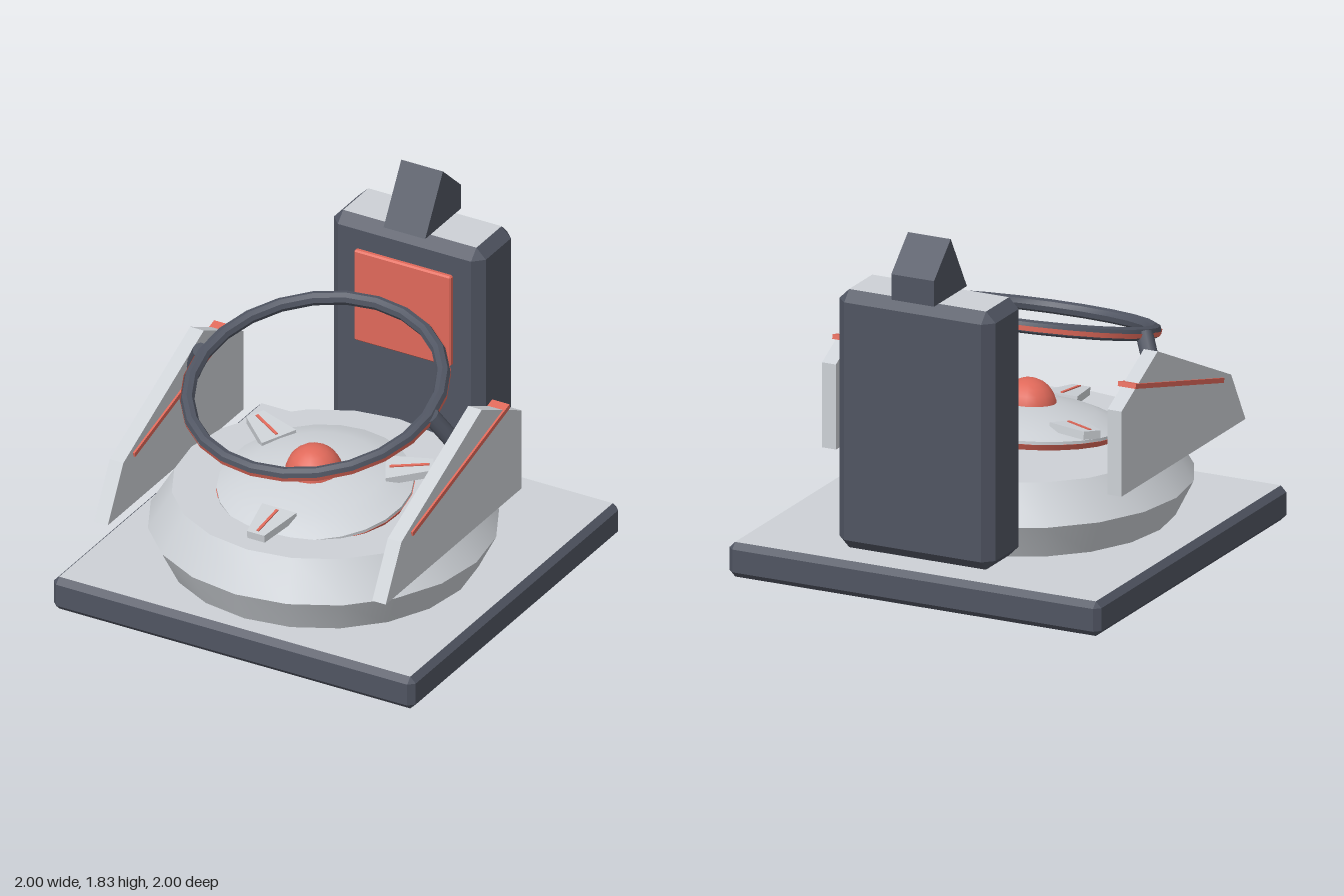
import * as THREE from 'three';
import { toCreasedNormals } from 'three/addons/utils/BufferGeometryUtils.js';
import { ConvexGeometry } from 'three/addons/geometries/ConvexGeometry.js';

const paint = (name, color) => Object.assign(new THREE.MeshStandardMaterial({ color }), { name });

export function createModel() {
  const light = paint('light grey', 0xcdd1d6);
  const dark = paint('slate', 0x505562);
  const red = paint('red', 0xe0695a);
  const model = new THREE.Group();

  const add = (name, geometry, material, parent = model) => {
    const mesh = new THREE.Mesh(geometry, material);
    mesh.name = name;
    parent.add(mesh);
    return mesh;
  };

  // Box with every edge chamfered; group 0 is the body, group 1 the top and bottom faces
  const chamferBox = (w, h, d, c) => {
    const points = [];
    for (const sx of [-1, 1]) for (const sy of [-1, 1]) for (const sz of [-1, 1]) {
      for (let k = 0; k < 3; k++) {
        const p = [w / 2 - c, h / 2 - c, d / 2 - c];
        p[k] += c;
        points.push(new THREE.Vector3(p[0] * sx, p[1] * sy, p[2] * sz));
      }
    }
    const hull = new ConvexGeometry(points);
    const pos = hull.attributes.position, nor = hull.attributes.normal;
    const body = [], caps = [];
    for (let i = 0; i < pos.count; i += 3) {
      (Math.abs(nor.getY(i)) > 0.99 ? caps : body).push(i, i + 1, i + 2);
    }
    hull.setIndex([...body, ...caps]);
    hull.addGroup(0, body.length, 0);
    hull.addGroup(body.length, caps.length, 1);
    return hull;
  };

  // Side profile of [z, y] points extruded across x
  const sideExtrude = (profile, width) => {
    const shape = new THREE.Shape(profile.map(([z, y]) => new THREE.Vector2(z, y)));
    return new THREE.ExtrudeGeometry(shape, { depth: width, bevelEnabled: false })
      .translate(0, 0, -width / 2).rotateY(-Math.PI / 2);
  };

  const lathe = (profile, sides) => toCreasedNormals(
    new THREE.LatheGeometry(profile.map(([r, y]) => new THREE.Vector2(r, y)), sides), 0.55);

  // Base slab
  add('base', chamferBox(2, 0.175, 2, 0.03), [dark, light]).position.y = 0.0875;

  // Faceted drum
  add('drum', lathe([[0.755, 0.17], [0.845, 0.35], [0.73, 0.54], [0, 0.54]], 20), light)
    .position.z = 0.12;

  // Tilted dome with red rim, centre ball and three fins
  const dome = new THREE.Group();
  dome.name = 'dome';
  dome.position.set(0, 0.575, 0.195);
  dome.rotation.x = 0.12;
  model.add(dome);
  add('domeCap', lathe([[0.475, 0], [0.475, 0.015], [0.41, 0.045], [0.33, 0.075],
    [0.17, 0.105], [0, 0.115]], 24), light, dome);
  add('domeRim', new THREE.CylinderGeometry(0.478, 0.46, 0.03, 24), red, dome).position.y = -0.015;
  add('centreBall', new THREE.SphereGeometry(0.14, 16, 12), red, dome).position.set(0, 0.082, 0.005);

  const finShape = new THREE.Shape([[-0.095, 0.34], [0.095, 0.34], [0.048, 0.57], [-0.048, 0.57]]
    .map(([x, y]) => new THREE.Vector2(x, y)));
  for (let i = 0; i < 3; i++) {
    const fin = new THREE.Group();
    fin.name = 'fin';
    fin.rotation.y = i * Math.PI * 2 / 3;
    dome.add(fin);
    add('finPlate', new THREE.ExtrudeGeometry(finShape, { depth: 0.04, bevelEnabled: false })
      .rotateX(Math.PI / 2), light, fin).position.y = 0.084;
    add('finStripe', new THREE.BoxGeometry(0.014, 0.009, 0.19), red, fin).position.set(0, 0.085, 0.455);
  }

  // Tilted hoop with a red outer band
  const hoop = new THREE.Group();
  hoop.name = 'hoop';
  hoop.position.set(0, 1.12, 0.197);
  hoop.rotation.x = 0.265;
  model.add(hoop);
  add('hoopRing', toCreasedNormals(new THREE.TorusGeometry(0.618, 0.034, 8, 24)
    .rotateX(Math.PI / 2), 0.5), dark, hoop);
  add('hoopBand', new THREE.CylinderGeometry(0.655, 0.652, 0.024, 24, 1, true),
    Object.assign(red, { side: THREE.DoubleSide }), hoop).position.y = -0.006;

  // Side plates, their stripes and the arms that carry the hoop
  const plateProfile = [[0.92, 0.5], [0.77, 0.77], [0, 1.12], [-0.38, 0.93], [-0.38, 0.5]];
  for (const s of [-1, 1]) {
    add('sidePlate', sideExtrude(plateProfile, 0.075), light).position.x = s * 0.768;
    const stripe = add('plateStripe', new THREE.BoxGeometry(0.096, 0.024, 0.96), red);
    stripe.position.set(s * 0.768, 0.895, 0.213);
    stripe.rotation.x = 0.263;

    const from = new THREE.Vector3(s * 0.635, 1.13, 0.19);
    const to = new THREE.Vector3(s * 0.75, 0.92, 0.09);
    const arm = add('hoopArm', new THREE.CylinderGeometry(0.043, 0.043, from.distanceTo(to), 10), dark);
    arm.position.lerpVectors(from, to, 0.5);
    arm.quaternion.setFromUnitVectors(new THREE.Vector3(0, 1, 0), from.clone().sub(to).normalize());
  }

  // Rear tower with front panel and peaked cap
  add('tower', chamferBox(0.84, 1.305, 0.345, 0.052), [dark, light]).position.set(0, 0.8875, -0.8275);
  add('towerPanel', chamferBox(0.535, 0.495, 0.036, 0.008), [red, red]).position.set(0, 1.137, -0.649);
  add('towerCap', sideExtrude([[-0.655, 1.541], [-0.825, 1.83], [-1, 1.67], [-1, 1.541]], 0.23), dark);

  return model;
}
